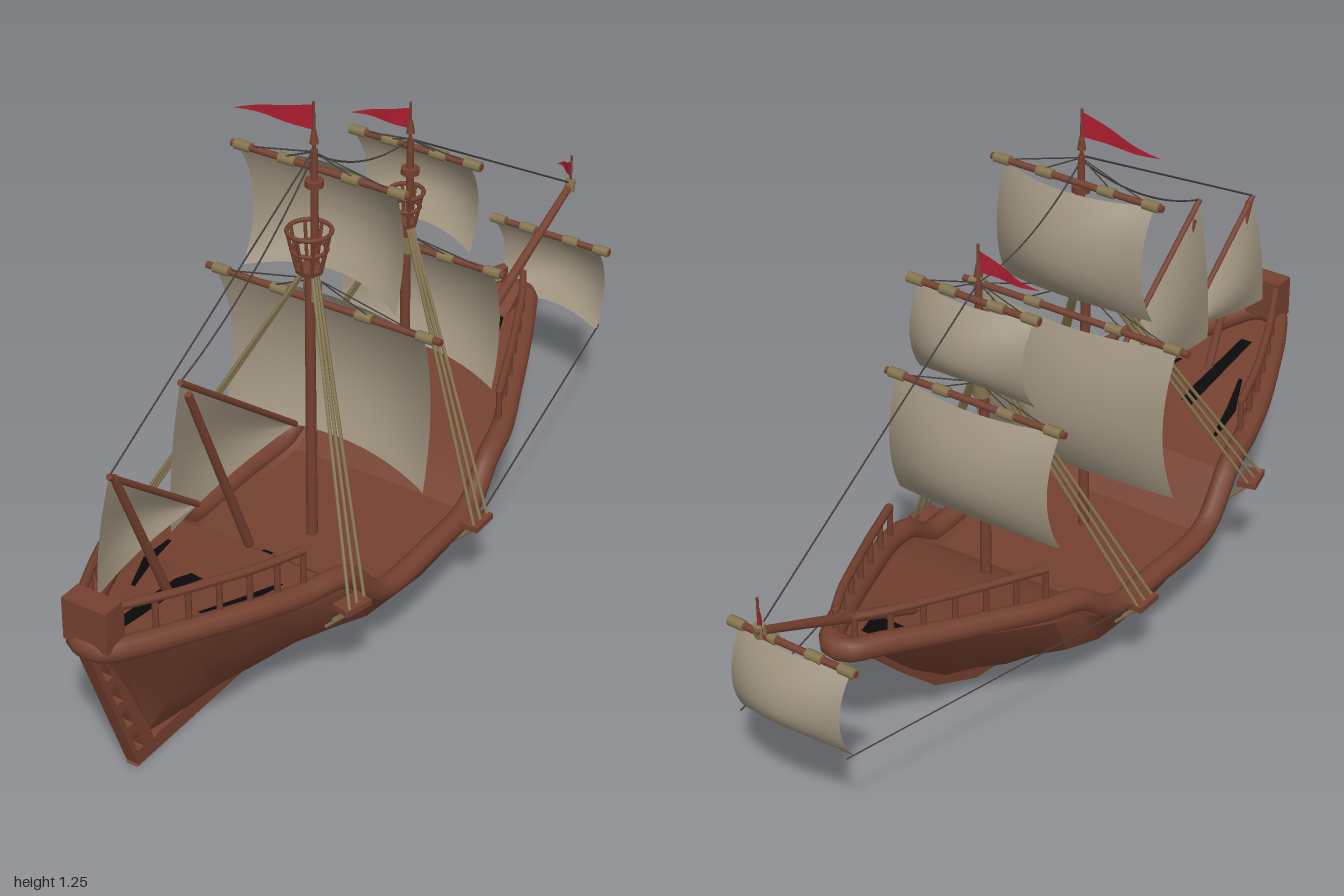
import * as THREE from 'three';
import { toCreasedNormals } from 'three/addons/utils/BufferGeometryUtils.js';

const mat = (name, color) => new THREE.MeshStandardMaterial({ name, color, side: THREE.DoubleSide });
const wood = mat('brown wood', 0x74402f);
const cloth = mat('sail cloth', 0x9c907d);
const tan = mat('tan cordage', 0x857550);
const ropeMat = mat('dark rope', 0x45403a);
const red = mat('red pennant', 0xb01e30);
const black = mat('black shadow gap', 0x0b0a0a);
const V = (x, y, z) => new THREE.Vector3(x, y, z);

function add(parent, name, geometry, material) {
  const mesh = new THREE.Mesh(geometry, material);
  mesh.name = name;
  parent.add(mesh);
  return mesh;
}

// Tapered round bar from a to b
function rod(parent, name, a, b, r, material = wood, r2 = r, sides = 8) {
  const mesh = add(parent, name, new THREE.CylinderGeometry(r2, r, a.distanceTo(b), sides), material);
  mesh.position.copy(a).add(b).multiplyScalar(0.5);
  mesh.quaternion.setFromUnitVectors(V(0, 1, 0), b.clone().sub(a).normalize());
  return mesh;
}

function box(parent, name, size, pos, material = wood) {
  const mesh = add(parent, name, new THREE.BoxGeometry(...size), material);
  mesh.position.set(...pos);
  return mesh;
}

// Skin across a list of cross-sections
function loft(rows) {
  const n = rows[0].length, index = [];
  for (let i = 0; i < rows.length - 1; i++)
    for (let j = 0; j < n - 1; j++) {
      const a = i * n + j, b = a + n;
      index.push(a, b, a + 1, b, b + 1, a + 1);
    }
  const g = new THREE.BufferGeometry().setFromPoints(rows.flat());
  g.setIndex(index);
  return toCreasedNormals(g, 0.55);
}

// Flat shape in the z-y plane, thickened along x
function slab(points, width, holes = []) {
  const toV2 = p => p.map(([z, y]) => new THREE.Vector2(z, y));
  const shape = new THREE.Shape(toV2(points));
  holes.forEach(h => shape.holes.push(new THREE.Path(toV2(h))));
  return new THREE.ExtrudeGeometry(shape, { depth: width, bevelEnabled: false })
    .rotateY(-Math.PI / 2).translate(width / 2, 0, 0);
}

// Stations, stern to bow: top z, half beam, sheer y, chine x, chine y, keel z, keel y
const stations = [
  [0.98, 0.05, 0.405, 0.03, 0.345, 0.945, 0.335], [0.93, 0.085, 0.4, 0.06, 0.325, 0.89, 0.22],
  [0.8, 0.145, 0.385, 0.11, 0.3, 0.82, 0.06], [0.65, 0.205, 0.365, 0.165, 0.25, 0.7, 0.035],
  [0.54, 0.235, 0.345, 0.195, 0.21, 0.55, 0.03], [0.43, 0.262, 0.335, 0.213, 0.165, 0.43, 0.03],
  [0.31, 0.275, 0.232, 0.222, 0.125, 0.31, 0.03], [0.1, 0.28, 0.225, 0.228, 0.105, 0.1, 0.03],
  [-0.07, 0.272, 0.232, 0.22, 0.105, -0.07, 0.03], [-0.17, 0.258, 0.3, 0.205, 0.13, -0.17, 0.035],
  [-0.26, 0.24, 0.32, 0.18, 0.165, -0.25, 0.045], [-0.4, 0.185, 0.345, 0.13, 0.215, -0.36, 0.09],
  [-0.52, 0.135, 0.365, 0.085, 0.265, -0.47, 0.17], [-0.63, 0.085, 0.385, 0.045, 0.315, -0.58, 0.28],
  [-0.705, 0.04, 0.392, 0.015, 0.35, -0.69, 0.355],
];
const mirrorRow = half => [...half.map(p => V(-p.x, p.y, p.z)), ...half.slice().reverse()];
// Half beam and sheer height at any z
function hullAt(z) {
  let i = 0;
  while (i < stations.length - 2 && stations[i + 1][0] > z) i++;
  const a = stations[i], b = stations[i + 1], t = (a[0] - z) / (a[0] - b[0]);
  return { b: a[1] + (b[1] - a[1]) * t, s: a[2] + (b[2] - a[2]) * t };
}

function buildHull(root) {
  const hull = new THREE.Group();
  hull.name = 'hull';
  root.add(hull);
  add(hull, 'planking', loft(stations.map(([z, b, s, xc, yc, zk, yk]) => mirrorRow([
    V(b - 0.01, s - 0.015, z), V(b * 0.98, s + (yc - s) * 0.35, z), V(xc, yc, (z * 2 + zk) / 3),
    V(xc * 0.55, yk + (yc - yk) * 0.42, (z + zk * 2) / 3), V(0.01, yk, zk)]))), wood);
  add(hull, 'deck', loft(stations.map(([z, b, s]) => mirrorRow(
    [V(b - 0.02, s - 0.01, z), V(b * 0.8, s - 0.045, z), V(0.005, s - 0.04, z)]))), wood);
  // Rounded rim all the way round the sheer
  const rim = s => stations.map(([z, b, y]) => V(s * (b - 0.022), y - 0.024, z));
  const path = new THREE.CatmullRomCurve3([...rim(1), ...rim(-1).reverse()], true, 'centripetal');
  add(hull, 'gunwale', new THREE.TubeGeometry(path, 160, 0.026, 10, true), wood);
  box(hull, 'sternBlock', [0.11, 0.1, 0.055], [0, 0.44, 0.97]);
  add(hull, 'keelAndStem', slab([[0.87, 0], [-0.1, 0], [-0.25, 0.02], [-0.4, 0.09], [-0.5, 0.18], [-0.6, 0.28],
    [-0.73, 0.37], [-0.69, 0.39], [-0.56, 0.3], [-0.45, 0.2], [-0.36, 0.12], [-0.22, 0.06], [0, 0.04], [0.8, 0.04]], 0.03), wood);
  // Slanted stern post and rudder with openings
  const at = (u, y) => [0.865 + 0.135 * y / 0.36 - u, y];
  const holes = [0.04, 0.12, 0.2, 0.28].map(y => [at(0.014, y), at(0.036, y), at(0.036, y + 0.05), at(0.014, y + 0.05)]);
  add(hull, 'rudder', slab([at(0, 0.005), at(0, 0.36), at(0.07, 0.36), at(0.07, 0.005)], 0.03, holes), wood);
  // Dark gaps in the deck
  const patch = pts => loft(pts.map(([z, x0, x1]) => [x0, x1].map(x => V(x, hullAt(z).s - 0.034, z))));
  add(hull, 'foredeckGap', patch([[-0.61, -0.015, 0.015], [-0.53, -0.045, 0.045]]), black);
  add(hull, 'aftDeckGap', patch([[0.87, -0.03, 0], [0.65, -0.035, 0], [0.36, -0.01, 0.015]]), black);
  for (const s of [-1, 1])
    add(hull, 'sideDeckGap', patch([[0.73, s * 0.08, s * 0.09], [0.62, s * 0.115, s * 0.14], [0.52, s * 0.14, s * 0.15]]), black);
}

// Hand rail on posts; y runs from y0 to y1
function buildRail(root, name, z0, z1, y0, y1, count) {
  for (const s of [-1, 1]) {
    const pts = [];
    for (let i = 0; i <= count; i++) {
      const t = i / count, z = z0 + (z1 - z0) * t, h = hullAt(z);
      const p = V(s * (h.b - 0.03), y0 + (y1 - y0) * t, z);
      pts.push(p);
      rod(root, name + 'Post', V(p.x, h.s - 0.03, z), p, 0.007, wood, 0.007, 6);
    }
    add(root, name, new THREE.TubeGeometry(new THREE.CatmullRomCurve3(pts), 24, 0.01, 6), wood);
  }
}

// Billowed square sail with its yard, wraps and lifts
function squareSail(root, name, { w, top, bottom, z, yard, lift, depth = 0.065 }) {
  const g = new THREE.PlaneGeometry(2, 2, 14, 14), p = g.attributes.position;
  for (let i = 0; i < p.count; i++) {
    const u = p.getX(i), v = p.getY(i), belly = 1 - v * v, across = 1 - u * u;
    p.setXYZ(i, u * w * (1 - 0.03 * belly), (top + bottom) / 2 + v * (top - bottom) / 2 + (v < 0 ? -v * 0.025 * across : 0),
      z - 0.04 * belly - across * (depth * 0.8 + 0.02 * belly));
  }
  g.computeVertexNormals();
  add(root, name, g, cloth);
  const y = top + 0.005, zy = z - 0.01;
  rod(root, name + 'Yard', V(-yard, y, zy), V(yard, y, zy), 0.008);
  for (const f of [-0.87, -0.36, 0.36, 0.87])
    rod(root, 'yardWrap', V(f * yard - 0.02, y, zy), V(f * yard + 0.02, y, zy), 0.012, tan);
  if (lift)
    for (const f of [-0.85, -0.45, 0.45, 0.85])
      rod(root, 'yardLift', V(0, lift, z + 0.01), V(f * yard, y, zy), 0.0018, ropeMat, 0.0018, 4);
}

// Mast with lookout basket, topmast and finial
function buildMast(root, name, { z, zt, base, nest, nestR, top, tip }) {
  const mast = new THREE.Group();
  mast.name = name;
  root.add(mast);
  rod(mast, 'lowerMast', V(0, base, z), V(0, nest, z), 0.013, wood, 0.011);
  rod(mast, 'topmast', V(0, nest - 0.06, zt), V(0, top, zt), 0.01, wood, 0.008);
  rod(mast, 'mastCap', V(0, nest - 0.07, (z + zt) / 2), V(0, nest - 0.03, (z + zt) / 2), 0.02, tan);
  rod(mast, 'finialPole', V(0, top, zt), V(0, tip, zt), 0.004, wood, 0.003);
  rod(mast, 'finial', V(0, top + 0.015, zt), V(0, top + 0.045, zt), 0.01, wood, 0.005);
  rod(mast, 'crossCap', V(0, top - 0.085, zt), V(0, top - 0.07, zt), 0.021);
  rod(mast, 'basketFloor', V(0, nest, z), V(0, nest + 0.01, z), nestR * 0.55, wood, nestR * 0.6, 10);
  const h = nestR * 1.9;
  for (const [r, y] of [[nestR, nest + h], [nestR * 0.8, nest + h * 0.55]]) {
    const ring = add(mast, 'basketRing', new THREE.TorusGeometry(r - 0.004, 0.005, 6, 20), wood);
    ring.rotation.x = Math.PI / 2;
    ring.position.set(0, y, z);
  }
  for (let i = 0; i < 8; i++) {
    const c = Math.cos(i * Math.PI / 4), s = Math.sin(i * Math.PI / 4), r = nestR - 0.004;
    rod(mast, 'basketSlat', V(c * r * 0.55, nest, z + s * r * 0.55), V(c * r, nest + h, z + s * r), 0.004, wood, 0.004, 5);
  }
}

// Shrouds running to a channel on the hull side
function buildShrouds(root, { z, y, zc, yc, xc, turn }) {
  for (const s of [-1, 1]) {
    const shelf = box(root, 'channel', [0.045, 0.014, 0.07], [s * (xc - 0.012), yc, zc]);
    shelf.rotation.y = s * turn;
    for (const d of [-0.028, 0, 0.028]) {
      rod(root, 'shroud', V(s * 0.012, y, z + d * 0.3), V(s * xc, yc, zc + d), 0.0045, tan, 0.004, 5);
      rod(root, 'chainPlate', V(s * xc, yc, zc + d), V(s * (xc - 0.06), yc - 0.06, zc + d), 0.004, tan, 0.004, 5);
    }
  }
}

// Raked spar with a triangular sail
function lateen(root, name, foot, head, peak, tack, clew) {
  rod(root, name + 'Mast', foot, head, 0.011, wood, 0.009);
  rod(root, name + 'Yard', peak, tack, 0.007);
  const rows = [];
  for (let i = 0; i <= 8; i++)
    rows.push([0, 1, 2, 3, 4, 5, 6].map(j => {
      const p = tack.clone().lerp(peak.clone().lerp(clew, j / 6), i / 8);
      p.x -= 0.035 * Math.sin(Math.PI * j / 7) * Math.sin(Math.PI * i / 9);
      return p;
    }));
  add(root, name + 'Sail', loft(rows), cloth);
}

// Rippled pennant streaming from its pole
function pennant(root, x, y, z, length, height, dz = 0) {
  const rows = [];
  for (let i = 0; i <= 8; i++) {
    const t = i / 8, ripple = 0.008 * Math.sin(t * 7) * t;
    rows.push([V(x - length * t, y + height * (1 - t) + 0.001, z + dz * t + ripple), V(x - length * t, y, z + dz * t + ripple)]);
  }
  add(root, 'pennant', loft(rows), red);
}

function rope(root, a, b, sag = 0) {
  const mid = a.clone().lerp(b, 0.5).add(V(0, -sag * 2, 0));
  add(root, 'stay', new THREE.TubeGeometry(new THREE.QuadraticBezierCurve3(a, mid, b), 14, 0.0022, 4), ropeMat);
}

export function createModel() {
  const ship = new THREE.Group();
  ship.name = 'sailingShip';
  buildHull(ship);
  buildRail(ship, 'aftRail', 0.94, 0.53, 0.475, 0.425, 6);
  buildRail(ship, 'foreRail', -0.26, -0.68, 0.395, 0.44, 6);

  buildMast(ship, 'mainMast', { z: 0.19, zt: 0.17, base: 0.18, nest: 0.86, nestR: 0.052, top: 1.14, tip: 1.25 });
  buildMast(ship, 'foreMast', { z: -0.19, zt: -0.205, base: 0.25, nest: 0.795, nestR: 0.043, top: 1.0, tip: 1.09 });
  squareSail(ship, 'mainCourse', { w: 0.265, top: 0.755, bottom: 0.375, z: 0.155, yard: 0.3, lift: 0.83 });
  squareSail(ship, 'mainTopsail', { w: 0.195, top: 1.08, bottom: 0.8, z: 0.16, yard: 0.222, lift: 1.135 });
  squareSail(ship, 'foreCourse', { w: 0.215, top: 0.715, bottom: 0.425, z: -0.215, yard: 0.235, lift: 0.76, depth: 0.05 });
  squareSail(ship, 'foreTopsail', { w: 0.15, top: 0.965, bottom: 0.755, z: -0.215, yard: 0.17, lift: 1.0, depth: 0.04 });
  squareSail(ship, 'spritSail', { w: 0.145, top: 0.45, bottom: 0.235, z: -0.84, yard: 0.165, depth: 0.03 });

  lateen(ship, 'mizzen', V(0, 0.3, 0.43), V(0, 0.79, 0.63), V(0, 0.83, 0.655), V(0, 0.51, 0.25), V(-0.02, 0.465, 0.67));
  lateen(ship, 'sternMast', V(0, 0.35, 0.72), V(0, 0.73, 0.88), V(0, 0.74, 0.895), V(0, 0.51, 0.61), V(-0.02, 0.455, 0.92));
  rod(ship, 'bowsprit', V(0, 0.32, -0.45), V(0, 0.555, -0.955), 0.015, wood, 0.009);
  rod(ship, 'bowspritKnob', V(0, 0.535, -0.94), V(0, 0.565, -0.945), 0.013, tan);
  rod(ship, 'bowFlagPole', V(0, 0.55, -0.945), V(0, 0.63, -0.945), 0.003);

  pennant(ship, 0, 1.185, 0.17, 0.195, 0.058);
  pennant(ship, 0, 1.025, -0.205, 0.15, 0.05);
  pennant(ship, 0, 0.572, -0.945, 0.06, 0.04, -0.045);

  buildShrouds(ship, { z: 0.19, y: 0.86, zc: 0.46, yc: 0.275, xc: 0.295, turn: -0.25 });
  buildShrouds(ship, { z: -0.185, y: 0.8, zc: -0.02, yc: 0.212, xc: 0.31, turn: 0 });

  // Stays between the mastheads and sheets to the sprit sail
  rope(ship, V(0, 1.13, 0.17), V(0, 0.83, 0.655), 0.035);
  rope(ship, V(0, 1.14, 0.17), V(0, 0.74, 0.895));
  rope(ship, V(0, 1.13, 0.17), V(0, 1.0, -0.205), 0.035);
  rope(ship, V(0, 1.0, -0.205), V(0, 0.555, -0.945));
  for (const s of [-1, 1]) rope(ship, V(s * 0.14, 0.24, -0.86), V(s * 0.3, 0.22, -0.04));
  return ship;
}
